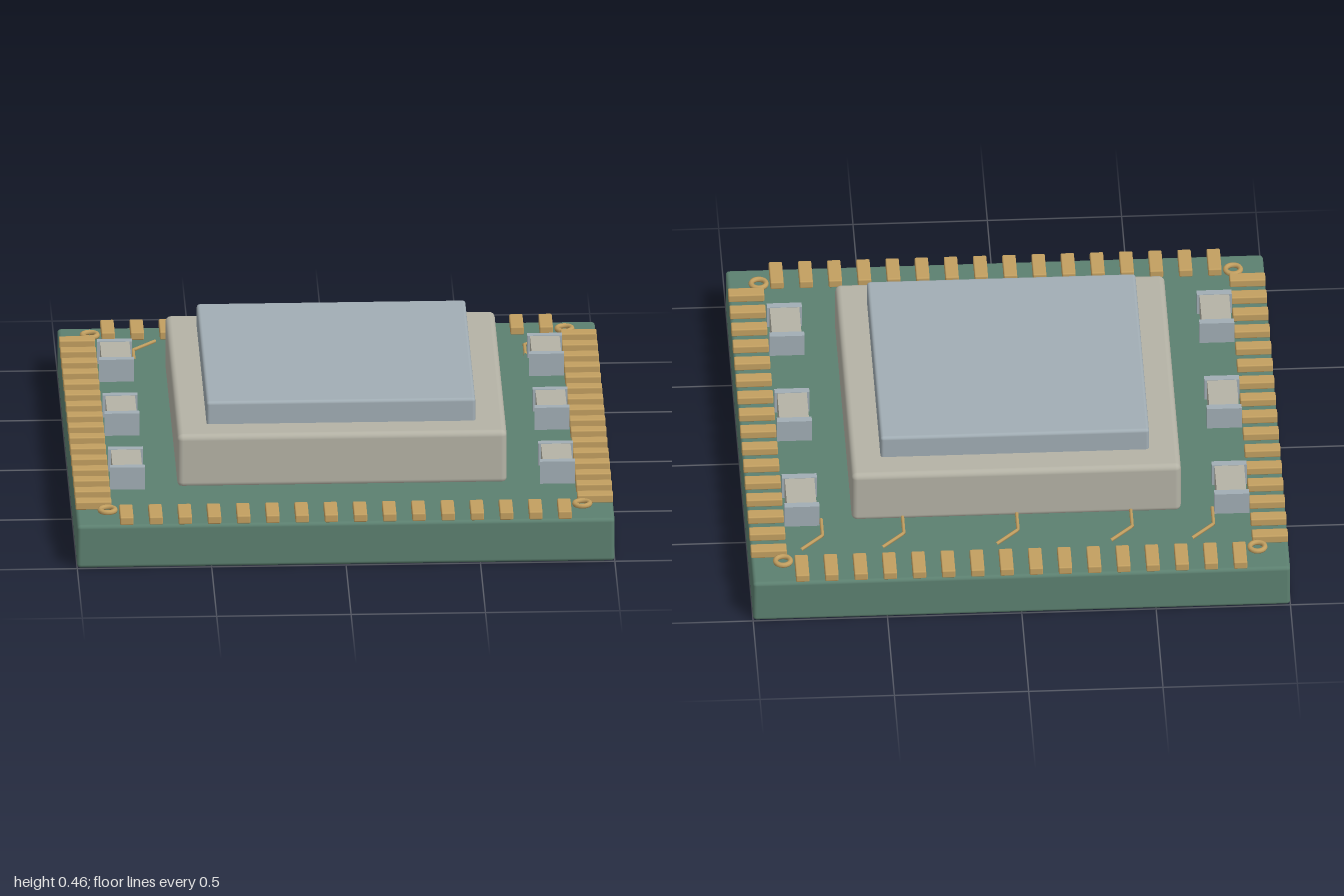
import * as THREE from 'three';
import { RoundedBoxGeometry } from 'three/addons/geometries/RoundedBoxGeometry.js';

const mat = (name, color) => {
  const m = new THREE.MeshStandardMaterial({ color });
  m.name = name;
  return m;
};

export function createModel() {
  const green = mat('board green', 0x5c8070);
  const gold = mat('contact gold', 0xc29f60);
  const beige = mat('package beige', 0xb4b2a5);
  const steel = mat('metal blue grey', 0xa1adb4);

  const model = new THREE.Group();
  model.name = 'chipModule';

  const add = (parent, name, geometry, material, x, y, z) => {
    const mesh = new THREE.Mesh(geometry, material);
    mesh.name = name;
    mesh.position.set(x, y, z);
    parent.add(mesh);
    return mesh;
  };
  const group = (name) => {
    const g = new THREE.Group();
    g.name = name;
    model.add(g);
    return g;
  };

  const top = 0.17; // upper face of the board

  // Board, package and lid, stacked
  add(model, 'board', new RoundedBoxGeometry(2, top, 2, 3, 0.014), green, 0, top / 2, 0);
  add(model, 'package', new RoundedBoxGeometry(1.226, 0.21, 1.226, 4, 0.022), beige, 0, 0.267, 0);
  add(model, 'lid', new RoundedBoxGeometry(1, 0.1, 1, 3, 0.012), steel, 0, 0.41, 0);

  // Sixteen edge contacts on each of the four sides
  const contacts = group('edgeContacts');
  const contactGeometry = new RoundedBoxGeometry(0.05, 0.032, 0.134, 2, 0.005);
  for (let side = 0; side < 4; side++) {
    const row = new THREE.Group();
    row.name = 'contactRow';
    row.rotation.y = side * Math.PI / 2;
    contacts.add(row);
    for (let i = 0; i < 16; i++) {
      add(row, 'contact', contactGeometry, gold, -0.815 + i * 1.63 / 15, 0.186, 0.933);
    }
  }

  // Corner rings
  const rings = group('cornerRings');
  const ringGeometry = new THREE.TorusGeometry(0.028, 0.01, 8, 20);
  for (const x of [-0.883, 0.883]) {
    for (const z of [-0.883, 0.883]) {
      add(rings, 'cornerRing', ringGeometry, gold, x, 0.187, z).rotation.x = Math.PI / 2;
    }
  }

  // Three small capacitors on each side, with a metal cap at both ends
  const bodyGeometry = new THREE.BoxGeometry(0.11, 0.085, 0.165);
  const capGeometry = new THREE.BoxGeometry(0.13, 0.088, 0.028);
  for (const x of [-0.8, 0.8]) {
    for (const z of [-0.544, 0, 0.544]) {
      const capacitor = group('capacitor');
      capacitor.position.set(x, 0.219, z);
      add(capacitor, 'capacitorBody', bodyGeometry, beige, 0, 0, 0);
      for (const s of [-1, 1]) {
        add(capacitor, 'capacitorCap', capGeometry, steel, 0, 0, s * 0.092);
      }
    }
  }

  // Bent traces behind the package
  const path = new THREE.CurvePath();
  const points = [[0, -0.625], [0, -0.728], [0.085, -0.815]]
    .map(([x, z]) => new THREE.Vector3(x, 0, z));
  path.add(new THREE.LineCurve3(points[0], points[1]));
  path.add(new THREE.LineCurve3(points[1], points[2]));
  const traceGeometry = new THREE.TubeGeometry(path, 24, 0.007, 6, false);
  const traces = group('traces');
  for (const x of [-0.728, -0.425, 0, 0.425, 0.728]) {
    add(traces, 'trace', traceGeometry, gold, x, 0.186, 0);
  }

  return model;
}
